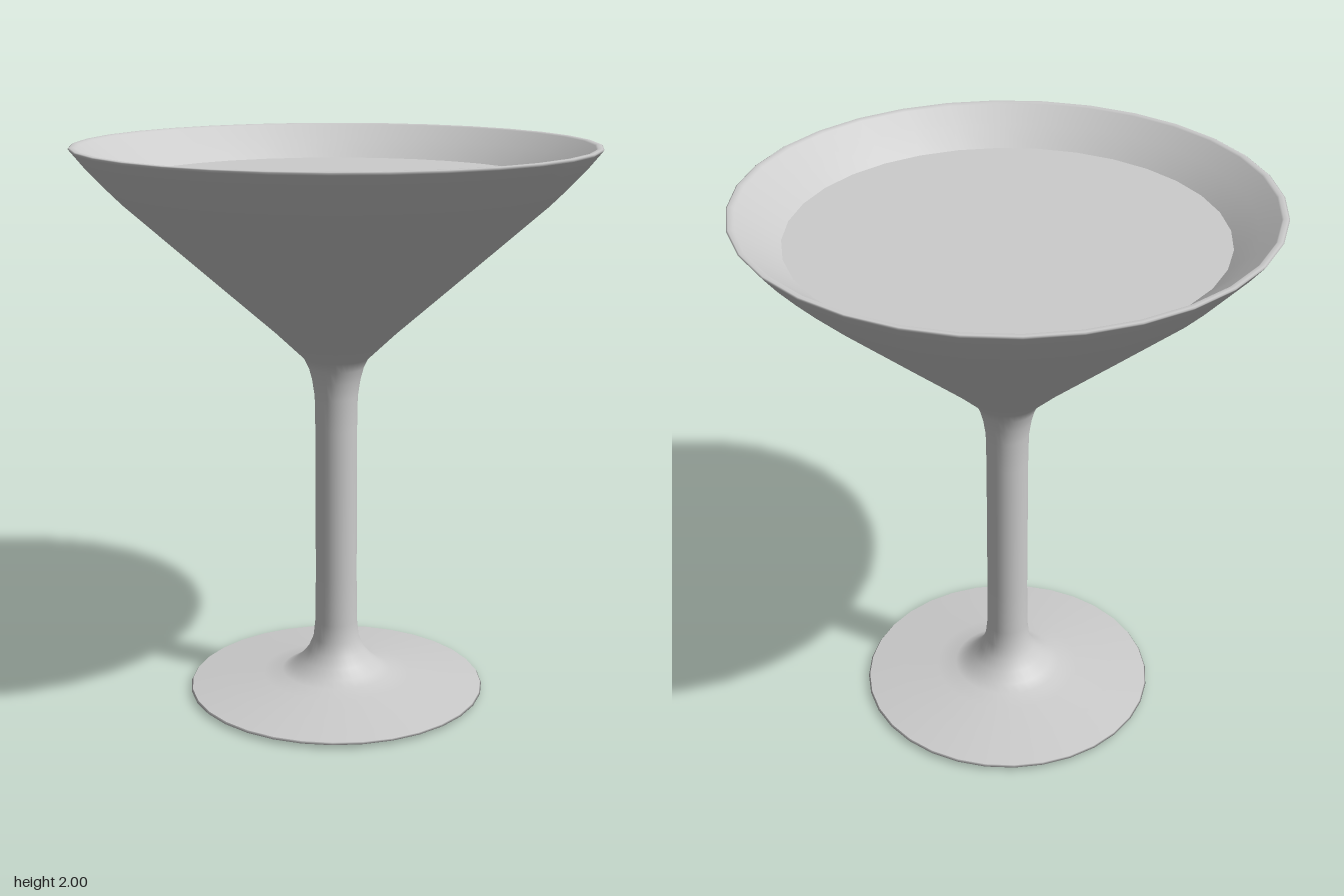
import * as THREE from 'three';

const SIDES = 32;

export function createModel() {
  const group = new THREE.Group();
  const material = new THREE.MeshStandardMaterial({ color: 0xcccccc });

  // Turns a profile of [radius, height] points; separate meshes keep the edges between them sharp
  const turn = (name, points) => {
    const profile = points.map(([r, y]) => new THREE.Vector2(r, y));
    const mesh = new THREE.Mesh(new THREE.LatheGeometry(profile, SIDES), material);
    mesh.name = name;
    group.add(mesh);
  };

  // Flat underside and thin edge of the foot
  turn('footUnderside', [[0, 0], [0.4, 0]]);
  turn('footEdge', [[0.4, 0], [0.52, 0.007], [0.54, 0.013], [0.535, 0.02]]);

  // Foot sweeping up into the stem and flaring into the bowl
  turn('footStemAndBowl', [
    [0.535, 0.02], [0.4, 0.039], [0.27, 0.056], [0.2, 0.067], [0.165, 0.085],
    [0.13, 0.115], [0.103, 0.15], [0.084, 0.195], [0.077, 0.26], [0.075, 0.44],
    [0.075, 0.99], [0.077, 1.11], [0.086, 1.17], [0.098, 1.215], [0.115, 1.25],
    [0.215, 1.345], [0.47, 1.57], [0.735, 1.805], [0.8, 1.87], [0.86, 1.935], [0.905, 1.99],
  ]);

  // Narrow lip at the top
  turn('rim', [[0.905, 1.99], [0.91, 1.997], [0.905, 2], [0.89, 2], [0.884, 1.995]]);

  // Inner wall of the bowl
  turn('bowlInterior', [[0.884, 1.995], [0.82, 1.945], [0.741, 1.88], [0.4, 1.575], [0.1, 1.31], [0, 1.28]]);

  // Flat surface of the drink
  turn('drinkSurface', [[0.741, 1.88], [0, 1.88]]);

  return group;
}
